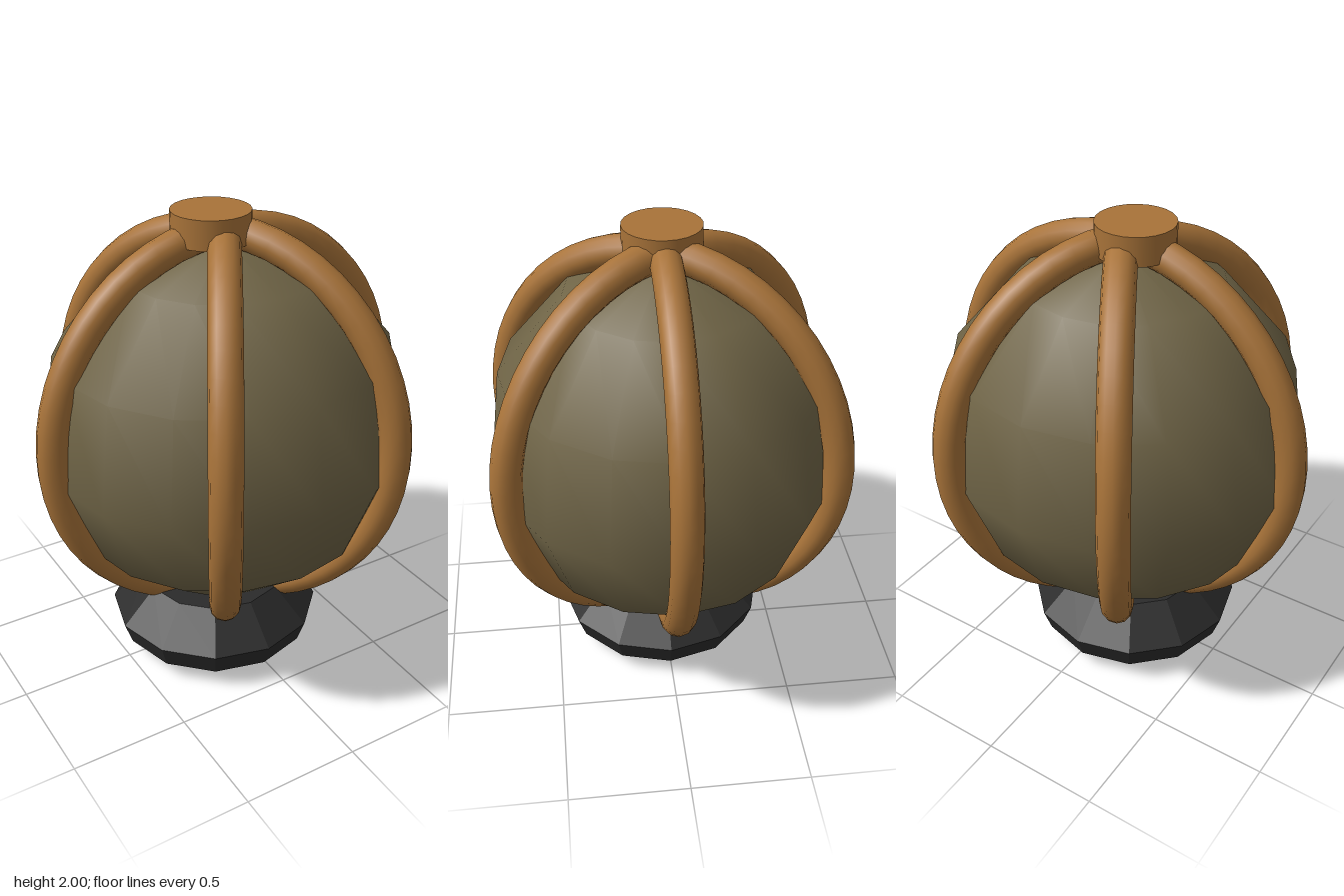
import * as THREE from 'three';

const material = (name, color, extra = {}) => {
  const m = new THREE.MeshStandardMaterial({ color, ...extra });
  m.name = name;
  return m;
};

const lathe = (points, sides) =>
  new THREE.LatheGeometry(points.map(([r, y]) => new THREE.Vector2(r, y)), sides);

export function createModel() {
  const olive = material('olive glass', 0x6f6446);
  const bronze = material('bronze', 0xa87339);
  const black = material('black rubber', 0x2a2a2a, { flatShading: true });
  const group = new THREE.Group();
  const add = (name, geometry, mat, parent = group) => {
    const mesh = new THREE.Mesh(geometry, mat);
    mesh.name = name;
    parent.add(mesh);
    return mesh;
  };

  // Round body, slightly flattened front to back
  const body = add('body', lathe([[0, 0.31], [0.32, 0.37], [0.63, 0.61], [0.77, 0.97],
    [0.71, 1.42], [0.42, 1.75], [0, 1.87]], 16), olive);
  body.scale.z = 0.95;

  // Six curved ribs from the top cap down to the collar
  const ribs = new THREE.Group();
  ribs.name = 'ribs';
  ribs.scale.z = 0.97;
  group.add(ribs);
  const points = [];
  const start = 0.05, end = Math.PI - 0.38;
  for (let i = 0; i <= 20; i++) {
    const a = start + (end - start) * i / 20;
    points.push(new THREE.Vector3(0.785 * Math.sin(a), 1.09 + 0.82 * Math.cos(a), 0));
  }
  const curve = new THREE.CatmullRomCurve3(points);
  const ribGeometry = new THREE.TubeGeometry(curve, 24, 0.066, 12);
  const discGeometry = new THREE.CircleGeometry(0.066, 12);
  for (let i = 0; i < 6; i++) {
    const rib = new THREE.Group();
    rib.name = 'rib';
    rib.rotation.y = i * Math.PI / 3;
    ribs.add(rib);
    add('ribTube', ribGeometry, bronze, rib);
    // Flat ends close the tube
    for (const t of [0, 1]) {
      const disc = add('ribEnd', discGeometry, bronze, rib);
      const outward = curve.getTangentAt(t).multiplyScalar(t ? 1 : -1);
      disc.position.copy(curve.getPointAt(t));
      disc.quaternion.setFromUnitVectors(new THREE.Vector3(0, 0, 1), outward);
    }
  }

  // Top cap, set a little to one side
  const cap = add('topCap', new THREE.CylinderGeometry(0.16, 0.16, 0.12, 24), bronze);
  cap.position.set(-0.06, 1.94, 0);

  // Faceted collar foot
  const collar = add('collar', lathe([[0, 0], [0.215, 0], [0.425, 0.08], [0.46, 0.18],
    [0.31, 0.33], [0, 0.33]], 12), black);
  collar.position.set(-0.06, 0, 0.01);

  return group;
}
